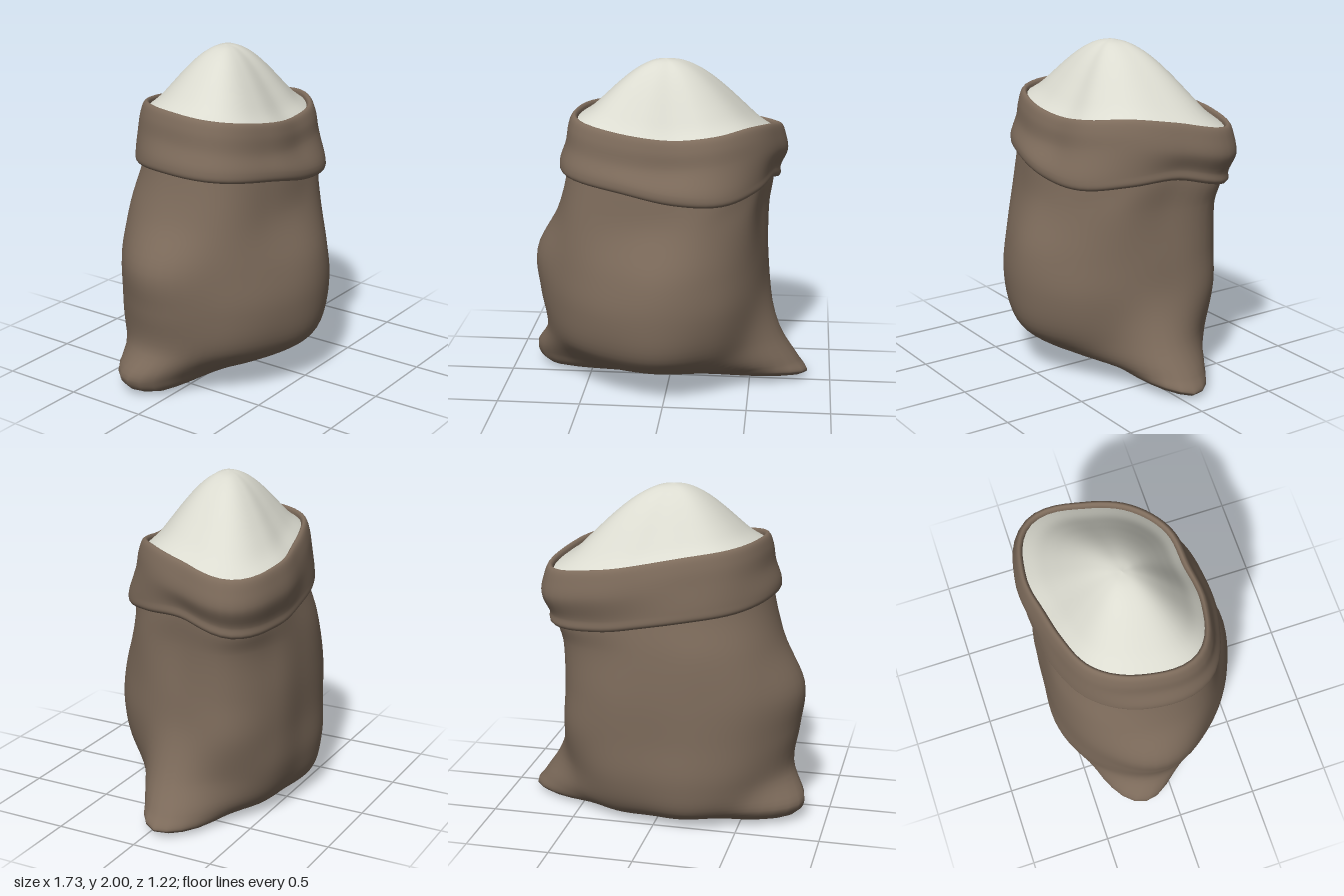
import * as THREE from 'three';

const SEG = 72;

// Smooth periodic interpolation of values spaced evenly around the sack
function around(values, u) {
  const n = values.length;
  const f = u * n, i = Math.floor(f), t = f - i;
  const [a, b, c, d] = [-1, 0, 1, 2].map((k) => values[(i + k + n) % n]);
  return b + 0.5 * t * (c - a + t * (2 * a - 5 * b + 4 * c - d + t * (3 * (b - c) + d - a)));
}

// Closed ring of points; radii run from +x towards +z in 30 degree steps
function ring(cx, cz, radii, height, { offset = 0, scale = 1, lift = 0, turn = 0, tilt = 0 } = {}) {
  return Array.from({ length: SEG }, (_, j) => {
    const u = j / SEG, a = u * Math.PI * 2 + turn;
    const r = (around(radii, u) + offset) * scale;
    const z = cz + r * Math.sin(a);
    const y = (Array.isArray(height) ? around(height, u) : height) + lift;
    return new THREE.Vector3(cx + r * Math.cos(a), y + tilt * Math.max(0, z + 0.05), z);
  });
}

// Smooth skin through a stack of rings
function loft(rings, steps) {
  const pos = [], index = [];
  const columns = rings[0].map((_, j) => new THREE.CatmullRomCurve3(rings.map((r) => r[j])).getPoints(steps));
  for (let i = 0; i <= steps; i++) {
    for (let j = 0; j < SEG; j++) pos.push(...columns[j][i].toArray());
  }
  for (let i = 0; i < steps; i++) {
    for (let j = 0; j < SEG; j++) {
      const k = (j + 1) % SEG;
      const a = i * SEG + j, b = a + SEG, c = i * SEG + k, d = c + SEG;
      index.push(a, b, c, b, d, c);
    }
  }
  const g = new THREE.BufferGeometry();
  g.setAttribute('position', new THREE.Float32BufferAttribute(pos, 3));
  g.setIndex(index);
  g.computeVertexNormals();
  return g;
}

// Mouth and folded hem outlines
const mouthR = [0.53, 0.48, 0.46, 0.43, 0.515, 0.635, 0.58, 0.52, 0.43, 0.42, 0.52, 0.645];
const mouthY = [1.61, 1.64, 1.62, 1.6, 1.63, 1.68, 1.7, 1.69, 1.66, 1.62, 1.58, 1.55];
const hemR = [0.57, 0.56, 0.58, 0.57, 0.63, 0.74, 0.69, 0.61, 0.52, 0.49, 0.56, 0.67];
const hemY = [1.28, 1.26, 1.23, 1.25, 1.31, 1.35, 1.36, 1.33, 1.3, 1.26, 1.22, 1.21];
const MX = 0.05, MZ = -0.1;

// Body outlines from the floor up, with the two pulled-out corners low down
const floorR = [0.86, 0.47, 0.34, 0.32, 0.36, 0.5, 0.82, 0.48, 0.38, 0.33, 0.38, 0.5];
const cornerR = [0.81, 0.57, 0.5, 0.52, 0.53, 0.6, 0.87, 0.6, 0.49, 0.42, 0.46, 0.57];
const lowR = [0.69, 0.56, 0.56, 0.61, 0.62, 0.69, 0.78, 0.69, 0.6, 0.53, 0.57, 0.62];
const bellyR = [0.6, 0.57, 0.6, 0.645, 0.66, 0.72, 0.81, 0.72, 0.61, 0.54, 0.59, 0.66];
const waistR = [0.57, 0.56, 0.58, 0.62, 0.63, 0.71, 0.83, 0.72, 0.6, 0.54, 0.59, 0.65];
const chestR = [0.55, 0.55, 0.53, 0.51, 0.55, 0.67, 0.69, 0.65, 0.57, 0.52, 0.57, 0.66];

export function createModel() {
  const group = new THREE.Group();
  const burlap = new THREE.MeshStandardMaterial({ color: 0x7d6b5b });
  burlap.name = 'brown burlap';
  const flour = new THREE.MeshStandardMaterial({ color: 0xdbdbd0 });
  flour.name = 'white flour';

  const add = (name, geometry, material) => {
    const mesh = new THREE.Mesh(geometry, material);
    mesh.name = name;
    group.add(mesh);
  };

  // Slumped sack body
  const low = { turn: 0.08, tilt: 0.25 };
  add('sackBody', loft([
    ring(0, -0.12, floorR, 0.0, { ...low, scale: 0.001 }),
    ring(0, -0.12, floorR, 0.005, { ...low, scale: 0.5 }),
    ring(0, -0.12, floorR, 0.035, low),
    ring(0, -0.12, cornerR, 0.115, { turn: 0.08, tilt: 0.12 }),
    ring(0, -0.06, lowR, 0.3, { turn: 0.04 }),
    ring(0, -0.05, bellyR, 0.55),
    ring(0, -0.05, waistR, 0.8),
    ring(0, -0.05, chestR, 1.08),
    ring(MX, MZ, hemR, hemY, { offset: -0.045 }),
    ring(MX, MZ, hemR, hemY, { offset: -0.06, lift: 0.1 }),
  ], 54), burlap);

  // Folded cuff, from the underside of the hem over the rim to the inside
  add('foldedCuff', loft([
    ring(MX, MZ, hemR, hemY, { offset: -0.06, lift: 0.04 }),
    ring(MX, MZ, hemR, hemY, { offset: -0.02, lift: -0.008 }),
    ring(MX, MZ, hemR, hemY, { offset: 0.0, lift: 0.01 }),
    ring(MX, MZ, hemR, hemY, { offset: 0.0, lift: 0.06 }),
    ring(MX, MZ, mouthR, mouthY, { offset: 0.072, lift: -0.17 }),
    ring(MX, MZ, mouthR, mouthY, { offset: 0.055, lift: -0.07 }),
    ring(MX, MZ, mouthR, mouthY, { offset: 0.032, lift: -0.01 }),
    ring(MX, MZ, mouthR, mouthY, { offset: 0.015 }),
    ring(MX, MZ, mouthR, mouthY, { lift: -0.015 }),
    ring(MX, MZ, mouthR, mouthY, { lift: -0.14 }),
  ], 54), burlap);

  // Heaped contents: the mouth outline shrinking towards a rounded peak
  const heap = [];
  for (const t of [1, 0.85, 0.7, 0.55, 0.4, 0.27, 0.14, 0.001]) {
    const h = Math.pow(Math.cos((t * Math.PI) / 2), 1.3);
    const heights = mouthY.map((y) => THREE.MathUtils.lerp(y - 0.035, 2, h));
    const cx = THREE.MathUtils.lerp(-0.03, MX, t), cz = THREE.MathUtils.lerp(-0.07, MZ, t);
    heap.push(ring(cx, cz, mouthR, heights, { scale: t, offset: 0.005 }));
  }
  add('flourHeap', loft(heap, 28), flour);

  return group;
}
